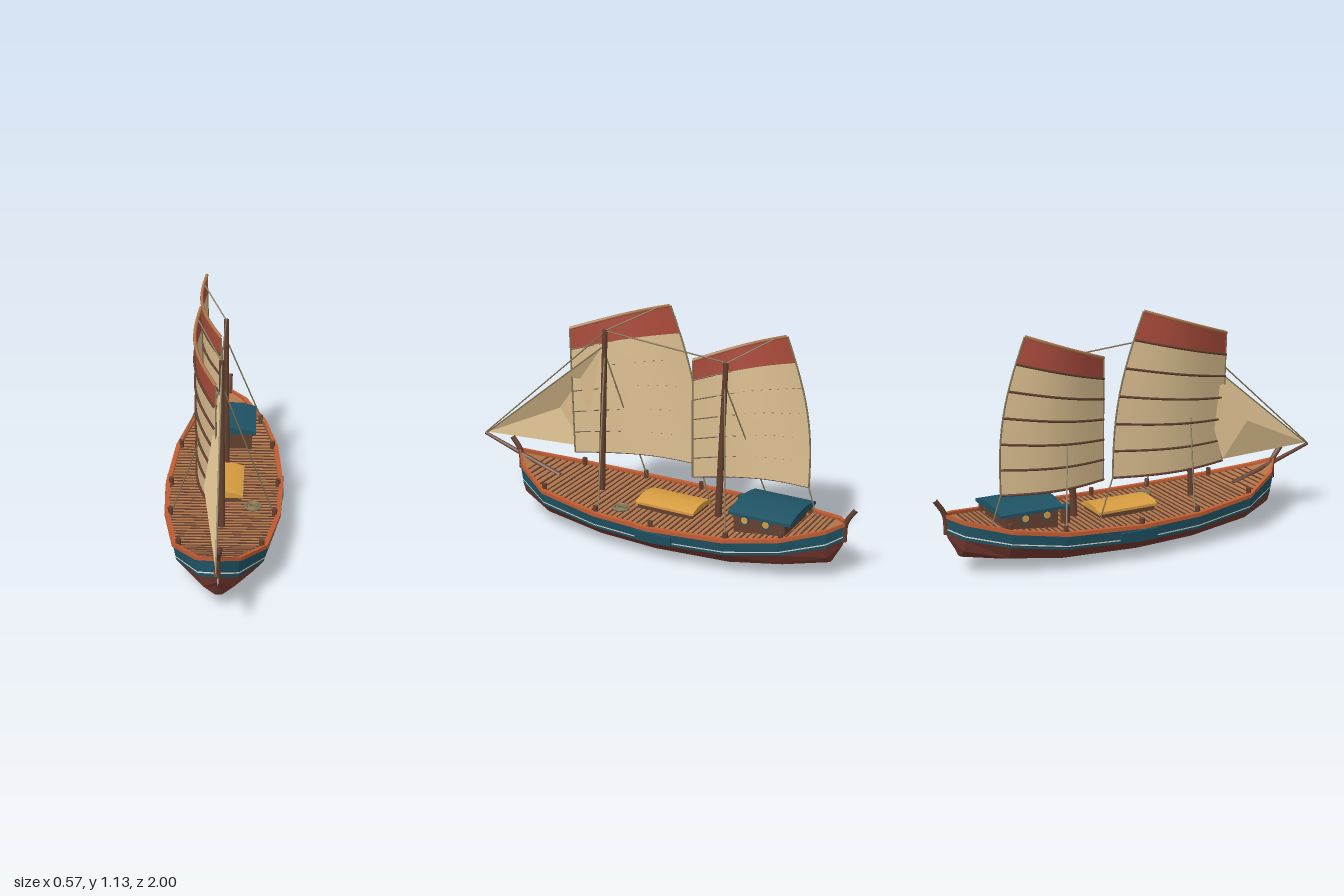
import * as THREE from 'three';
import { mergeVertices } from 'three/addons/utils/BufferGeometryUtils.js';

const paint = (name, color, side = THREE.FrontSide) => {
  const m = new THREE.MeshStandardMaterial({ color, side });
  m.name = name;
  return m;
};
const lerp = THREE.MathUtils.lerp;
const V = (x, y, z) => new THREE.Vector3(x, y, z);

// Hull stations, bow to stern: z, half width, rail y, paint line y, bilge y, bottom y
const STATIONS = [
  [0.79, 0.004, 0.29, 0.2, 0.17, 0.14],
  [0.72, 0.09, 0.25, 0.16, 0.11, 0.07],
  [0.53, 0.205, 0.2, 0.125, 0.075, 0.03],
  [0.21, 0.262, 0.175, 0.1, 0.05, 0.008],
  [-0.09, 0.277, 0.17, 0.095, 0.045, 0],
  [-0.46, 0.25, 0.185, 0.11, 0.055, 0.015],
  [-0.7, 0.187, 0.215, 0.14, 0.08, 0.045],
  [-0.88, 0.083, 0.255, 0.175, 0.12, 0.08],
  [-0.94, 0.004, 0.275, 0.2, 0.17, 0.145],
];

// Half width and rail height at any z
function hullAt(z) {
  let i = 0;
  while (i < STATIONS.length - 2 && STATIONS[i + 1][0] > z) i++;
  const a = STATIONS[i], b = STATIONS[i + 1], t = (z - a[0]) / (b[0] - a[0]);
  return { w: lerp(a[1], b[1], t), y: lerp(a[2], b[2], t) };
}

// Skin over a list of cross-sections
function loft(sections, smooth = false) {
  const pos = [];
  for (let i = 0; i < sections.length - 1; i++) {
    for (let j = 0; j < sections[i].length - 1; j++) {
      const a = sections[i][j], b = sections[i + 1][j], c = sections[i + 1][j + 1], d = sections[i][j + 1];
      for (const p of [a, d, c, a, c, b]) pos.push(p.x, p.y, p.z);
    }
  }
  let g = new THREE.BufferGeometry();
  g.setAttribute('position', new THREE.Float32BufferAttribute(pos, 3));
  if (smooth) g = mergeVertices(g);
  g.computeVertexNormals();
  return g;
}

export function createModel() {
  const boat = new THREE.Group();
  boat.name = 'sailingBoat';
  const mat = {
    red: paint('hullRed', 0x74382f),
    teal: paint('teal', 0x1f5364),
    rail: paint('terracotta', 0xc05c32),
    deck: paint('deckWood', 0xb0754a),
    dark: paint('darkWood', 0x64402f),
    cream: paint('sailCream', 0xdcbf90, THREE.DoubleSide),
    sailRed: paint('sailRed', 0xac4c3c, THREE.DoubleSide),
    yellow: paint('ochre', 0xd69c40),
    white: paint('offWhite', 0xe6e2d6),
    rope: paint('rope', 0x857757),
  };
  const add = (name, geo, m, x = 0, y = 0, z = 0, parent = boat) => {
    const mesh = new THREE.Mesh(geo, m);
    mesh.name = name;
    mesh.position.set(x, y, z);
    parent.add(mesh);
    return mesh;
  };
  const box = (name, w, h, d, m, x, y, z) => add(name, new THREE.BoxGeometry(w, h, d), m, x, y, z);
  // Round bar between two points
  const bar = (name, a, b, r0, r1, m, sides = 6) => {
    const dir = b.clone().sub(a), mid = a.clone().lerp(b, 0.5);
    const mesh = add(name, new THREE.CylinderGeometry(r1, r0, dir.length(), sides), m, mid.x, mid.y, mid.z);
    mesh.quaternion.setFromUnitVectors(V(0, 1, 0), dir.normalize());
    return mesh;
  };
  const line = (name, a, b) => bar(name, a, b, 0.0035, 0.0035, mat.rope, 5);
  const tube = (name, pts, r, m) =>
    add(name, new THREE.TubeGeometry(new THREE.CatmullRomCurve3(pts), 14, r, 6), m);

  // Hull bottom and side bands
  const bottom = STATIONS.map(([z, w, , yb, y2, y0]) => {
    const end = z > 0.75 ? 1 : z < -0.9 ? -1 : 0;
    const half = [V(w * 0.95, yb, z), V(w * 0.74, y2, z - end * 0.01), V(w * 0.18, y0, z - end * 0.03)];
    return [...half, ...half.map((p) => V(-p.x, p.y, p.z)).reverse()];
  });
  add('hullBottom', loft(bottom), mat.red);
  const band = (name, t0, t1, out, m) => {
    for (const s of [1, -1]) {
      add(name, loft(STATIONS.map(([z, w, yr, yb]) => {
        const pair = [t0, t1].map((t) => V(s * (lerp(w, w * 0.95, t) + out), lerp(yr, yb, t), z));
        return s > 0 ? pair : pair.reverse();
      })), m);
    }
  };
  band('hullSide', 0, 1, 0, mat.teal);
  band('hullStripe', 0.72, 0.8, 0.003, mat.white);
  for (const s of [1, -1]) {
    const plate = box('sidePlate', 0.008, 0.045, 0.19, mat.teal, s * 0.277, 0.135, -0.115);
    plate.rotation.z = -s * 0.17;
  }

  // Deck, plank seams and rail
  add('deck', loft(STATIONS.map(([z, w, y]) => [V(-w, y - 0.004, z), V(w, y - 0.004, z)])), mat.deck);
  for (let i = 0; i < 56; i++) {
    const z = -0.85 + i * 0.028, h = hullAt(z);
    box('plankSeam', 2 * h.w - 0.03, 0.005, i % 3 ? 0.005 : 0.009, mat.dark, 0, h.y - 0.003, z);
  }
  for (const s of [1, -1]) {
    add('rail', loft(STATIONS.map(([z, w, y]) => {
      const o = w + 0.008, n = Math.max(0, w - 0.014);
      const ring = [V(s * n, y + 0.01, z), V(s * o, y + 0.01, z), V(s * o, y - 0.008, z), V(s * n, y - 0.008, z), V(s * n, y + 0.01, z)];
      return s > 0 ? ring : ring.reverse();
    })), mat.rail);
    for (const [z, w, y] of STATIONS.slice(2, 7)) {
      add('bollard', new THREE.CylinderGeometry(0.012, 0.012, 0.045, 8), mat.dark, s * (w - 0.02), y + 0.012, z);
    }
  }

  // Stem and stern posts, bowsprit
  tube('stemPost', [V(0, 0.2, 0.785), V(0, 0.29, 0.79), V(0, 0.355, 0.835)], 0.013, mat.dark);
  tube('sternPost', [V(0, 0.19, -0.935), V(0, 0.28, -0.94), V(0, 0.355, -0.985)], 0.013, mat.dark);
  bar('bowsprit', V(0, 0.2, 0.56), V(0, 0.345, 0.998), 0.014, 0.008, mat.dark, 8);

  // Arched slab with a flat underside
  const arch = (name, w, edge, rise, depth, m, x, y, z) => {
    const s = new THREE.Shape();
    s.moveTo(-w / 2, 0);
    s.lineTo(w / 2, 0);
    for (let i = 0; i <= 10; i++) {
      const k = 1 - i / 5;
      s.lineTo((k * w) / 2, edge + rise * (1 - k * k));
    }
    const g = new THREE.ExtrudeGeometry(s, { depth, bevelEnabled: false });
    add(name, g.translate(0, 0, -depth / 2), m, x, y, z);
  };

  // Cabin with round windows
  box('cabinWalls', 0.25, 0.1, 0.25, mat.dark, 0, 0.228, -0.575);
  arch('cabinRoof', 0.29, 0.014, 0.022, 0.305, mat.teal, 0, 0.27, -0.583);
  for (const s of [1, -1]) {
    for (const z of [-0.505, -0.61]) {
      for (const [name, r, x, m] of [['windowFrame', 0.023, 0.126, mat.teal], ['windowPane', 0.016, 0.129, mat.yellow]]) {
        add(name, new THREE.CylinderGeometry(r, r, 0.006, 14), m, s * x, 0.248, z).rotation.z = Math.PI / 2;
      }
    }
  }
  box('cabinDoor', 0.07, 0.075, 0.006, mat.teal, -0.02, 0.23, -0.449);

  // Deck gear: barrel, hatch, rope coil
  add('barrel', new THREE.CylinderGeometry(0.022, 0.022, 0.075, 10), mat.dark, -0.085, 0.22, -0.395);
  add('barrelLid', new THREE.CylinderGeometry(0.024, 0.024, 0.008, 10), mat.teal, -0.085, 0.26, -0.395);
  box('hatchBase', 0.17, 0.03, 0.285, mat.dark, 0, 0.18, -0.073);
  arch('hatchCover', 0.185, 0.012, 0.018, 0.305, mat.yellow, 0, 0.19, -0.073);
  for (const r of [0.036, 0.02]) {
    add('ropeCoil', new THREE.TorusGeometry(r, 0.007, 6, 18), mat.rope, 0.14, 0.178, 0.13).rotation.x = Math.PI / 2;
  }

  // Masts
  bar('foreMast', V(0, 0.16, 0.322), V(0, 0.99, 0.29), 0.017, 0.012, mat.dark, 10);
  bar('aftMast', V(0, 0.17, -0.31), V(0, 0.93, -0.336), 0.017, 0.012, mat.dark, 10);

  // Battened sail; corners are given as [z, y]
  const sail = (name, tack, throat, clew, peak) => {
    const at = (u, t) => {
      const bulge = -0.045 * Math.sin(Math.PI * t) * u;
      const z = lerp(lerp(tack[0], throat[0], t), lerp(clew[0], peak[0], t), u) + bulge;
      const y = lerp(lerp(tack[1], throat[1], t), lerp(clew[1], peak[1], t), u);
      return V(-0.018 - 0.085 * u - 0.055 * Math.sin(Math.PI * u), y, z);
    };
    const row = (t, dx = 0) => Array.from({ length: 13 }, (_, i) => at(i / 12, t).add(V(dx, 0, 0)));
    const side = (u) => Array.from({ length: 9 }, (_, i) => at(u, i / 8));
    const split = 5 / 6;
    add(name + 'Cloth', loft(Array.from({ length: 11 }, (_, i) => row((i / 10) * split)), true), mat.cream);
    add(name + 'TopPanel', loft([row(split), row((1 + split) / 2), row(1)], true), mat.sailRed);
    for (let i = 0; i < 6; i++) tube(name + 'Batten', row(i / 6, -0.005), 0.0055, mat.dark);
    tube(name + 'Yard', row(1), 0.008, mat.deck);
    tube(name + 'LuffRope', side(0), 0.004, mat.rope);
    tube(name + 'LeechRope', side(1), 0.004, mat.rope);
    return at;
  };
  const fore = sail('foreSail', [0.48, 0.335], [0.495, 0.962], [-0.16, 0.365], [0, 1.122]);
  const aft = sail('aftSail', [-0.165, 0.335], [-0.16, 0.908], [-0.715, 0.365], [-0.585, 1.062]);

  // Jib with a hollow belly
  const [jt, jh, jc, jm] = [V(0, 0.352, 0.985), V(0, 0.9, 0.31), V(-0.06, 0.355, 0.46), V(-0.066, 0.53, 0.593)];
  const jib = new THREE.BufferGeometry().setFromPoints([jt, jh, jm, jh, jc, jm, jc, jt, jm]);
  jib.computeVertexNormals();
  add('jib', jib, mat.cream);

  // Rigging
  line('foreStay', V(0, 0.35, 0.995), V(0, 0.98, 0.29));
  line('jibStay', jt, jh);
  line('mastStay', V(0, 0.985, 0.29), V(0, 0.93, -0.335));
  line('foreHalyard', V(0, 0.985, 0.29), fore(0.85, 1));
  line('aftHalyard', V(0, 0.925, -0.335), aft(0.85, 1));
  line('foreSheet', fore(1, 0), V(-0.1, 0.17, -0.225));
  line('aftSheet', aft(1, 0), V(-0.1, 0.23, -0.76));
  for (const s of [1, -1]) {
    line('foreShroud', V(0, 0.88, 0.294), V(s * 0.235, 0.185, 0.2));
    line('aftShroud', V(0, 0.83, -0.332), V(s * 0.235, 0.195, -0.46));
  }
  return boat;
}
